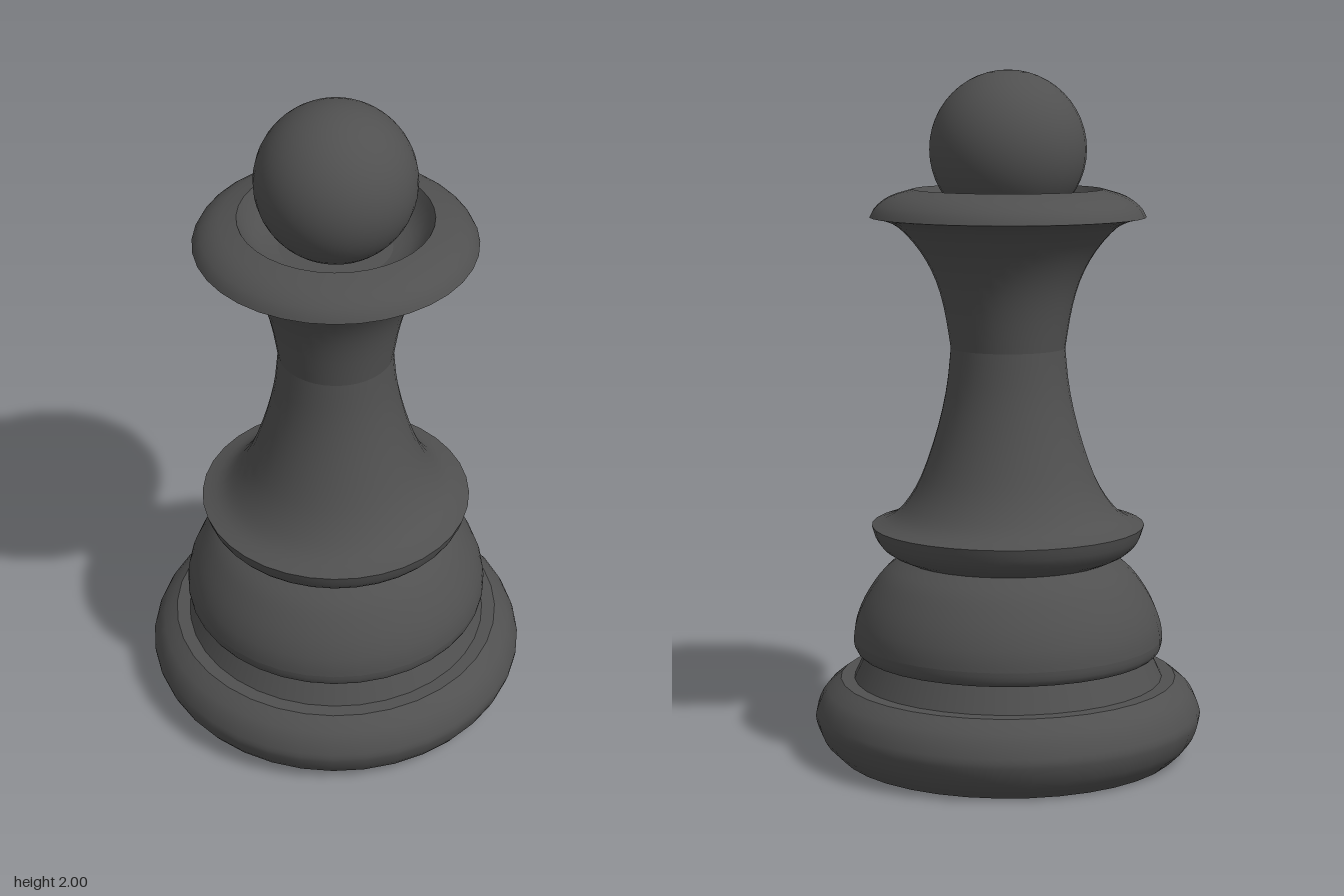
import * as THREE from 'three';

const SEGMENTS = 36;

export function createModel() {
  const piece = new THREE.Group();
  piece.name = 'chessPawn';
  const material = new THREE.MeshStandardMaterial({ color: 0x505050 });

  // Turned part from [radius, height] pairs, listed bottom to top along the outside
  const turn = (name, pairs, steps = 0) => {
    let points = pairs.map(([r, y]) => new THREE.Vector2(r, y));
    if (steps) points = new THREE.SplineCurve(points).getPoints(steps);
    const mesh = new THREE.Mesh(new THREE.LatheGeometry(points, SEGMENTS), material);
    mesh.name = name;
    piece.add(mesh);
  };

  // Base: flat underside, rounded rim, flat ledge
  turn('baseUnderside', [[0, 0], [0.5, 0]]);
  turn('baseRim', [[0.5, 0], [0.545, 0.045], [0.568, 0.1], [0.566, 0.135], [0.542, 0.185], [0.495, 0.225]], 12);
  turn('baseLedge', [[0.495, 0.225], [0.455, 0.225]]);
  turn('baseNeck', [[0.455, 0.225], [0.42, 0.3]]);

  // Domed body above the base
  turn('domeUnderside', [[0.42, 0.3], [0.44, 0.302], [0.453, 0.32], [0.456, 0.345]], 6);
  turn('dome', [[0.456, 0.345], [0.45, 0.39], [0.427, 0.45], [0.39, 0.51], [0.355, 0.55], [0.31, 0.583]], 12);

  // Lower collar
  turn('lowerCollar', [[0.31, 0.583], [0.355, 0.605], [0.385, 0.637], [0.4, 0.68]], 8);

  // Waisted stem, flaring at both ends
  turn('stemLower', [[0.4, 0.68], [0.345, 0.7], [0.3, 0.743], [0.255, 0.82], [0.21, 0.95], [0.18, 1.08], [0.167, 1.2]], 16);
  turn('stemUpper', [[0.167, 1.2], [0.186, 1.315], [0.213, 1.405], [0.255, 1.482], [0.31, 1.545], [0.355, 1.57], [0.4, 1.58]], 16);

  // Upper collar with a hollow cup that seats the ball
  turn('upperCollar', [[0.4, 1.58], [0.382, 1.61], [0.34, 1.64], [0.275, 1.66]], 8);
  turn('cupWall', [[0.275, 1.66], [0.25, 1.615], [0.21, 1.58], [0.16, 1.563]], 6);
  turn('cupFloor', [[0.16, 1.563], [0, 1.563]]);

  // Ball finial
  const ball = new THREE.Mesh(new THREE.SphereGeometry(0.227, SEGMENTS, 24), material);
  ball.name = 'ballHead';
  ball.position.y = 1.773;
  piece.add(ball);

  return piece;
}
